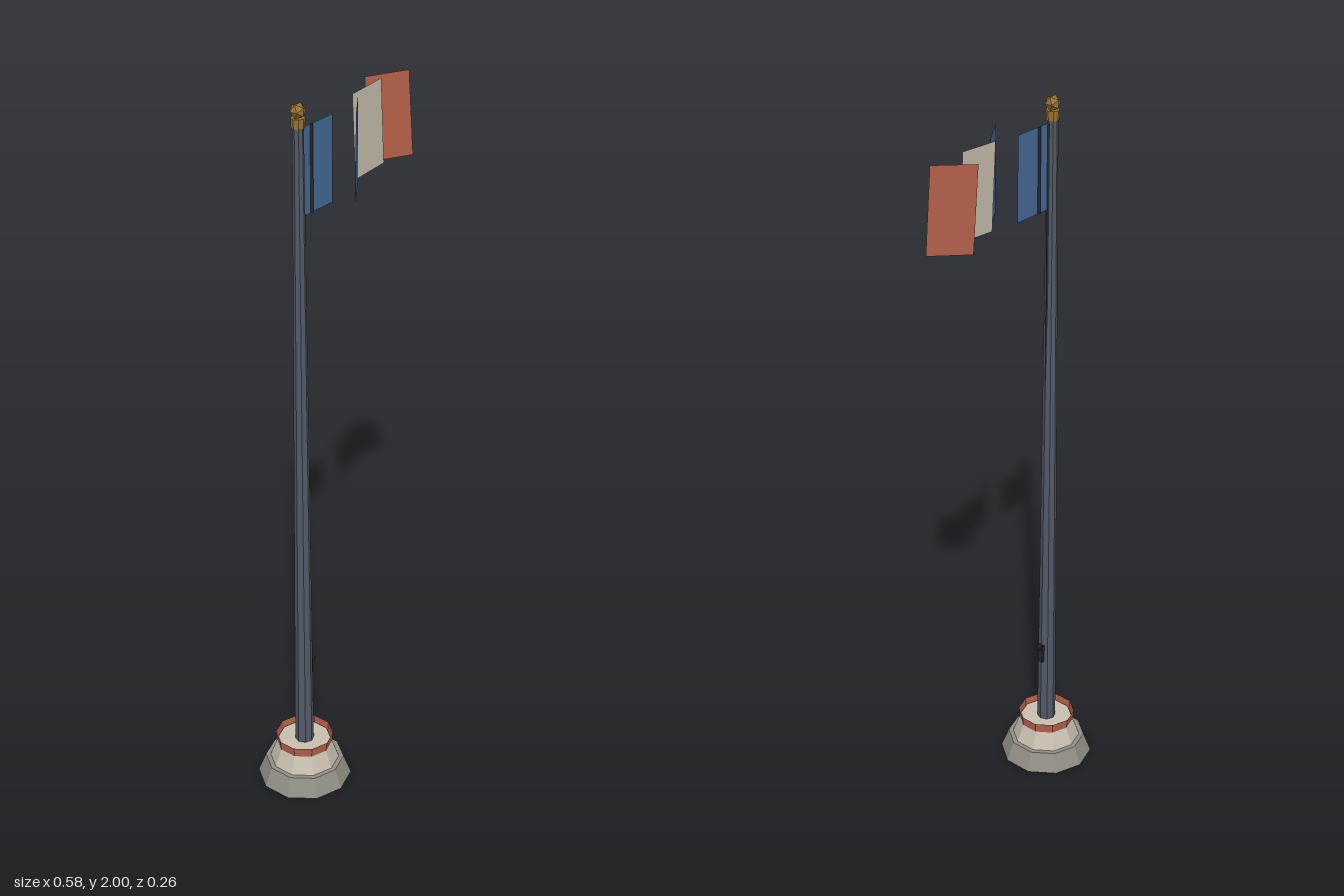
import * as THREE from 'three';

const POLE_X = -0.171;

const material = (color, side = THREE.FrontSide) =>
  new THREE.MeshStandardMaterial({ color, side, flatShading: true });

export function createModel() {
  const group = new THREE.Group();
  const stone = material(0x918f85);
  const cream = material(0xc8bfae);
  const steel = material(0x535a66);
  const dark = material(0x25272d);
  const gold = material(0x9a7234);
  const terracotta = material(0xb5604a, THREE.DoubleSide);
  const blueCloth = material(0x466a96, THREE.DoubleSide);
  const creamCloth = material(0xc8bfae, THREE.DoubleSide);

  const add = (name, geometry, mat, x, y, z = 0) => {
    const mesh = new THREE.Mesh(geometry, mat);
    mesh.name = name;
    mesh.position.set(x, y, z);
    group.add(mesh);
    return mesh;
  };

  // Upright tapered cylinder between two heights
  const column = (name, mat, x, y0, y1, r0, r1, sides, open = false) =>
    add(name, new THREE.CylinderGeometry(r1, r0, y1 - y0, sides, 1, open), mat, x, (y0 + y1) / 2);

  // Stepped base with an open band around its top
  column('basePlinth', stone, POLE_X, 0, 0.055, 0.13, 0.109, 10);
  column('baseCollar', cream, POLE_X, 0.055, 0.118, 0.096, 0.073, 10);
  column('baseBand', terracotta, POLE_X, 0.106, 0.135, 0.077, 0.08, 10, true);

  // Tapered pole and finial
  column('pole', steel, POLE_X, 0.11, 1.945, 0.026, 0.014, 8);
  column('finialCollar', gold, POLE_X, 1.938, 1.964, 0.017, 0.018, 8);
  add('finialBall', new THREE.IcosahedronGeometry(0.021, 0), gold, POLE_X, 1.981);

  // Halyard along the pole, and the cleat it ties to
  column('halyard', dark, -0.1555, 0.37, 1.93, 0.004, 0.004, 4);
  add('cleatPlate', new THREE.BoxGeometry(0.012, 0.055, 0.016), dark, -0.147, 0.345);
  add('cleatHorn', new THREE.BoxGeometry(0.022, 0.011, 0.01), dark, -0.141, 0.368);

  // Flag: separate rippling panels, [material, x, y, z, yaw, roll]
  const panels = [
    [blueCloth, -0.099, 1.817, 0, 0, 0],
    [blueCloth, 0.013, 1.832, 0.034, 0.62, 0.06],
    [creamCloth, 0.122, 1.838, -0.015, 0, 0.06],
    [terracotta, 0.235, 1.832, -0.036, -0.62, 0.06],
  ];
  panels.forEach(([mat, x, y, z, yaw, roll], i) => {
    const panel = add(`flagPanel${i + 1}`, new THREE.PlaneGeometry(0.117, 0.232), mat, x, y, z);
    panel.rotation.set(0, yaw, roll);
  });

  // Cord running down the first panel
  column('flagCord', dark, -0.121, 1.702, 1.932, 0.005, 0.005, 4);

  return group;
}
